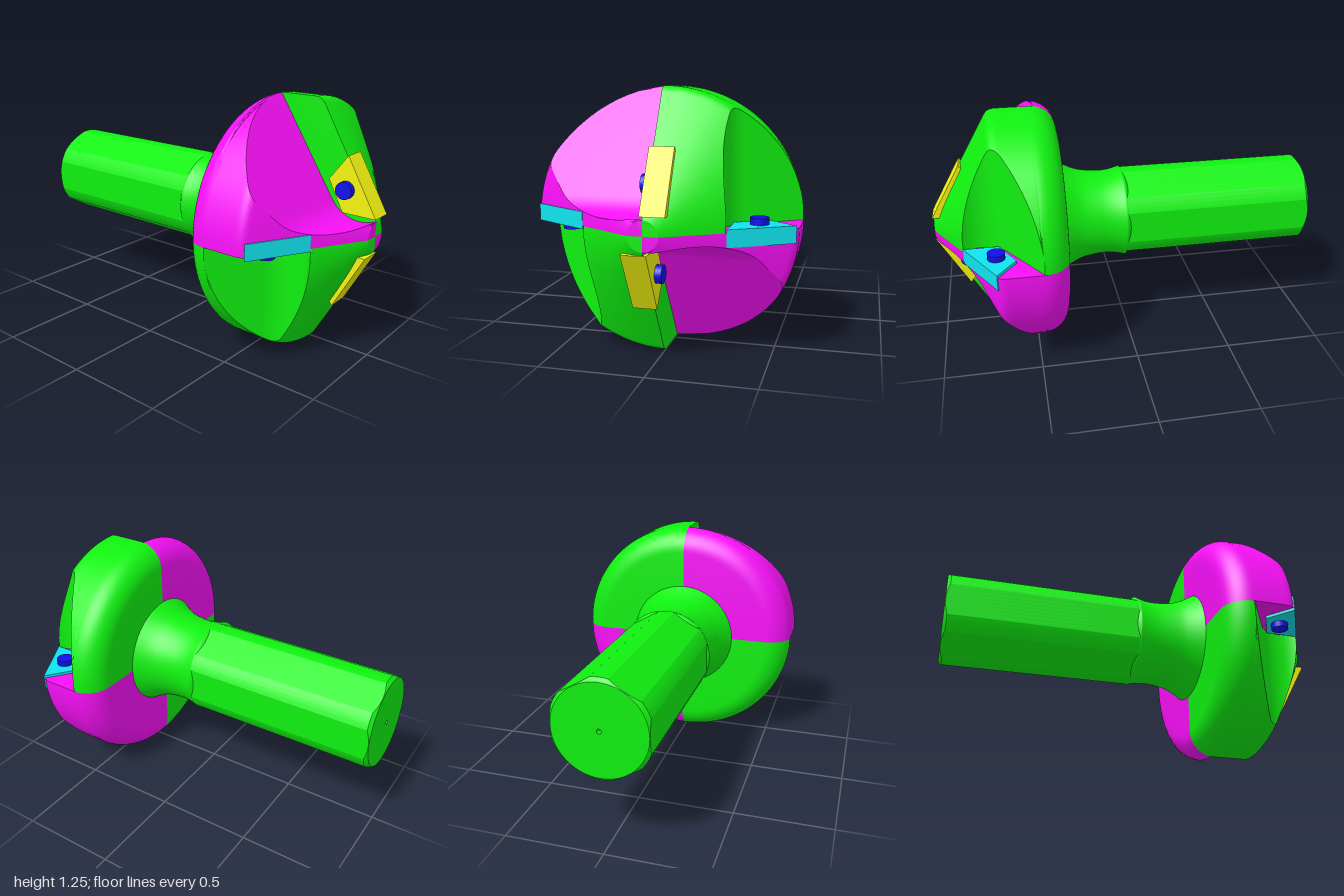
import * as THREE from 'three';
import { toCreasedNormals } from 'three/addons/utils/BufferGeometryUtils.js';

const R = 0.6225, TIP = 0.07, SLOPE = 0.577;
const mat = (color) => new THREE.MeshStandardMaterial({ color });
const green = mat(0x10f010), magenta = mat(0xf810f8), cyan = mat(0x10e4ee);
const yellow = mat(0xf4f410), blue = mat(0x1010e8);

function mesh(name, geometry, material) {
  const m = new THREE.Mesh(geometry, material);
  m.name = name;
  return m;
}

// Surface through a grid of points fn(row, t), t = 0..1; empty triangles are dropped
function grid(rows, cols, fn, flip = false) {
  const pos = [];
  const tri = (a, b, c) => {
    const area = b.clone().sub(a).cross(c.clone().sub(a)).length();
    if (area < 1e-9) return;
    for (const p of flip ? [a, c, b] : [a, b, c]) pos.push(p.x, p.y, p.z);
  };
  const pts = rows.map((row) =>
    Array.from({ length: cols + 1 }, (_, j) => new THREE.Vector3(...fn(row, j / cols))));
  for (let i = 0; i + 1 < rows.length; i++) {
    for (let j = 0; j < cols; j++) {
      tri(pts[i][j], pts[i + 1][j], pts[i + 1][j + 1]);
      tri(pts[i][j], pts[i + 1][j + 1], pts[i][j + 1]);
    }
  }
  const g = new THREE.BufferGeometry();
  g.setAttribute('position', new THREE.Float32BufferAttribute(pos, 3));
  return toCreasedNormals(g, 0.35);
}

// Flute: sloping floor running into a round wall; gives wall distance at height z
function makeFlute(floorZ, wallU, wallZ, radius) {
  const a = Math.atan(0.637);
  return (z) => z < wallZ - radius * Math.cos(a)
    ? 0.62 - (z - floorZ) / 0.637
    : wallU + radius - Math.sqrt(Math.max(0, radius ** 2 - (z - wallZ) ** 2));
}
const outerFlute = makeFlute(0.47, 0.298, 0.76, 0.1546);
const innerFlute = makeFlute(0.455, 0.053, 0.915, 0.18);

// Head profile from the back plate to the flat tip, as [radius, z]
function headProfile() {
  const p = [[0.27, 0.34]];
  for (let i = 0; i <= 12; i++) {
    const t = (i / 12) * Math.PI / 2;
    p.push([R - 0.13 + 0.13 * Math.sin(t), 0.47 - 0.13 * Math.cos(t)]);
  }
  for (let i = 1; i <= 14; i++) p.push([R, 0.47 + 0.175 * i / 14]);
  for (let i = 1; i <= 5; i++) {
    const t = i / 5;
    p.push([R - 0.0275 * t * t, 0.645 * (1 - t) ** 2 + 2 * 0.681 * t * (1 - t) + 0.697 * t * t]);
  }
  for (let i = 1; i <= 44; i++) {
    const r = 0.595 + (TIP - 0.595) * i / 44;
    p.push([r, 1 - (r - TIP) * SLOPE]);
  }
  return p;
}

// One quarter of the head with its flute, seat face and cutting insert
function quarter(name, flute, neighbour, material, insertMaterial, thickness, du, dz) {
  const g = new THREE.Group();
  g.name = name;
  const profile = headProfile();
  const front = profile.filter(([, z]) => z > 0.44);

  g.add(mesh('headShell', grid([...profile, [0, 1]], 28, ([r, z], t) => {
    const cut = z > 0.44 ? flute(z) : R;
    const a = t * (r > 0 ? Math.asin(Math.min(1, cut / r)) : Math.PI / 2);
    return [r * Math.sin(a), r * Math.cos(a), z];
  }), material));

  g.add(mesh('fluteWall', grid(front, 8, ([r, z], t) => {
    const u = Math.min(flute(z), r);
    return [u, t * Math.sqrt(Math.max(0, r * r - u * u)), z];
  }, true), material));

  g.add(mesh('seatFace', grid(front, 2, ([r, z], t) => {
    const u = Math.min(neighbour(z), r);
    return [0, u + (r - u) * t, z];
  }), material));

  // Insert lies in the seat of the next quarter, its screw head in this flute
  const outline = [[0.33, 0.85], [0.612, 0.692], [0.485, 0.595], [0.33, 0.675]];
  const shape = new THREE.Shape(outline.map(([u, z]) => new THREE.Vector2(u + du, z + dz)));
  const plate = new THREE.ExtrudeGeometry(shape, { depth: thickness, bevelEnabled: false });
  plate.rotateX(Math.PI / 2).translate(0, 0.015, 0);
  g.add(mesh('insert', plate, insertMaterial));
  const screw = new THREE.CylinderGeometry(0.043, 0.043, 0.04, 32);
  g.add(mesh('insertScrew', screw.translate(0.447 + du, 0.026, 0.69 + dz), blue));
  return g;
}

export function createModel() {
  const model = new THREE.Group();
  model.name = 'cuttingTool';
  const body = new THREE.Group();
  body.name = 'toolBody';
  body.position.y = R;
  model.add(body);

  // Four head quarters, alternating outer and inner flutes
  for (let k = 0; k < 4; k++) {
    const q = k % 2 === 0
      ? quarter('outerQuarter', outerFlute, innerFlute, green, cyan, 0.08, 0, 0)
      : quarter('innerQuarter', innerFlute, outerFlute, magenta, yellow, 0.115, -0.246, 0.153);
    q.rotation.z = k * Math.PI / 2;
    body.add(q);
  }

  // Waisted neck
  const curve = new THREE.SplineCurve([[0.245, 0], [0.231, 0.06], [0.228, 0.13], [0.24, 0.22],
    [0.262, 0.28], [0.298, 0.345]].map(([r, z]) => new THREE.Vector2(r, z)));
  const neckPoints = [new THREE.Vector2(0.229, -0.016), ...curve.getPoints(24)];
  body.add(mesh('neck', new THREE.LatheGeometry(neckPoints, 72).rotateX(Math.PI / 2), green));

  // Round shank with six flats, a chamfered end and a small centre hole
  const flatRadius = (a) => {
    const step = Math.PI / 3, d = a - Math.round(a / step) * step;
    return Math.min(0.245, 0.23 / Math.cos(d));
  };
  const loops = [
    (r) => [r, 0], (r) => [r, -1 + (r - 0.228)], () => [0.228, -1],
    () => [0.012, -1], () => [0.012, -0.97], () => [0, -0.97],
  ];
  body.add(mesh('shank', grid(loops, 72, (loop, t) => {
    const a = t * Math.PI * 2, [r, z] = loop(flatRadius(a));
    return [r * Math.cos(a), r * Math.sin(a), z];
  }), green));
  return model;
}
